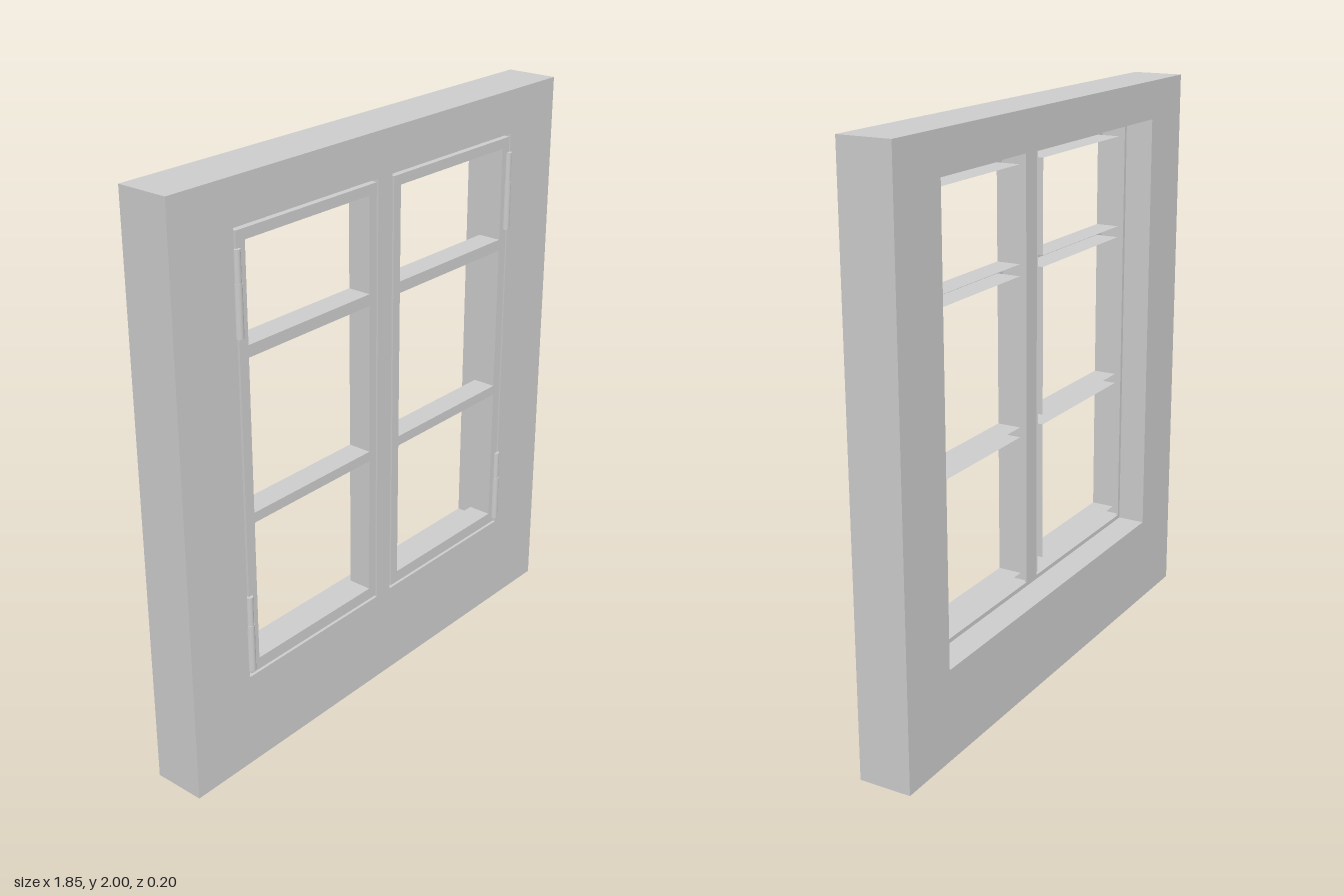
import * as THREE from 'three';

const FRONT = 0.085, BACK = -0.1, STEP = 0;

const material = new THREE.MeshStandardMaterial({ color: 0xcccccc, flatShading: true });
const thinMaterial = new THREE.MeshStandardMaterial({ color: 0xcccccc, flatShading: true, side: THREE.DoubleSide });
const roundMaterial = new THREE.MeshStandardMaterial({ color: 0xcccccc });

function rect(Type, x0, y0, x1, y1) {
  return new Type([[x0, y0], [x1, y0], [x1, y1], [x0, y1]].map(p => new THREE.Vector2(...p)));
}

// Rectangular panel with rectangular holes, spanning z0..z1
function panel(outer, holes, z0, z1) {
  const shape = rect(THREE.Shape, ...outer);
  for (const h of holes) shape.holes.push(rect(THREE.Path, ...h));
  const geo = new THREE.ExtrudeGeometry(shape, { depth: z1 - z0, bevelEnabled: false });
  return geo.translate(0, 0, z0);
}

// Drops the triangles facing -z, leaving a hollow open back
function openBack(geo) {
  const pos = geo.attributes.position, nor = geo.attributes.normal;
  const p = [], n = [];
  for (let i = 0; i < pos.count; i += 3) {
    if (nor.getZ(i) < -0.5) continue;
    for (let k = i; k < i + 3; k++) {
      p.push(pos.getX(k), pos.getY(k), pos.getZ(k));
      n.push(nor.getX(k), nor.getY(k), nor.getZ(k));
    }
  }
  const out = new THREE.BufferGeometry();
  out.setAttribute('position', new THREE.Float32BufferAttribute(p, 3));
  out.setAttribute('normal', new THREE.Float32BufferAttribute(n, 3));
  return out;
}

function add(parent, name, geo, mat = material) {
  const mesh = new THREE.Mesh(geo, mat);
  mesh.name = name;
  parent.add(mesh);
  return mesh;
}

export function createModel() {
  const model = new THREE.Group();
  model.name = 'casementWindow';

  // Wall: wide recess behind, two openings split by a mullion in front
  const wall = [-0.925, 0, 0.925, 2];
  add(model, 'wallBack', panel(wall, [[-0.69, 0.32, 0.69, 1.865]], BACK, STEP));
  add(model, 'wallFront', panel(wall, [
    [-0.675, 0.335, -0.035, 1.85],
    [0.035, 0.335, 0.675, 1.85],
  ], STEP, FRONT));

  // Pane heights, bottom to top
  const panes = [[0.387, 0.885], [0.92, 1.44], [1.48, 1.805]];

  for (const side of [-1, 1]) {
    const label = side > 0 ? 'left' : 'right';
    const span = (a, b) => (side > 0 ? [a, b] : [-b, -a]);

    // Sash with glazing bars, hollow at the back
    const [s0, s1] = span(0.043, 0.667);
    const [p0, p1] = span(0.077, 0.63);
    const holes = panes.map(([y0, y1]) => [p0, y0, p1, y1]);
    add(model, label + 'Sash', openBack(panel([s0, 0.345, s1, 1.84], holes, STEP, FRONT)), thinMaterial);

    // Hinges: a wide lower knuckle and a slimmer upper one
    for (const y of [0.36, 1.512]) {
      const hinge = new THREE.Group();
      hinge.name = label + 'Hinge';
      hinge.position.set(side * 0.665, y, FRONT - 0.001);
      add(hinge, 'lowerKnuckle', new THREE.CylinderGeometry(0.0145, 0.0145, 0.17, 16).translate(0, 0.085, 0), roundMaterial);
      add(hinge, 'upperKnuckle', new THREE.CylinderGeometry(0.0125, 0.0125, 0.104, 16).translate(0, 0.222, 0), roundMaterial);
      model.add(hinge);
    }
  }
  return model;
}
